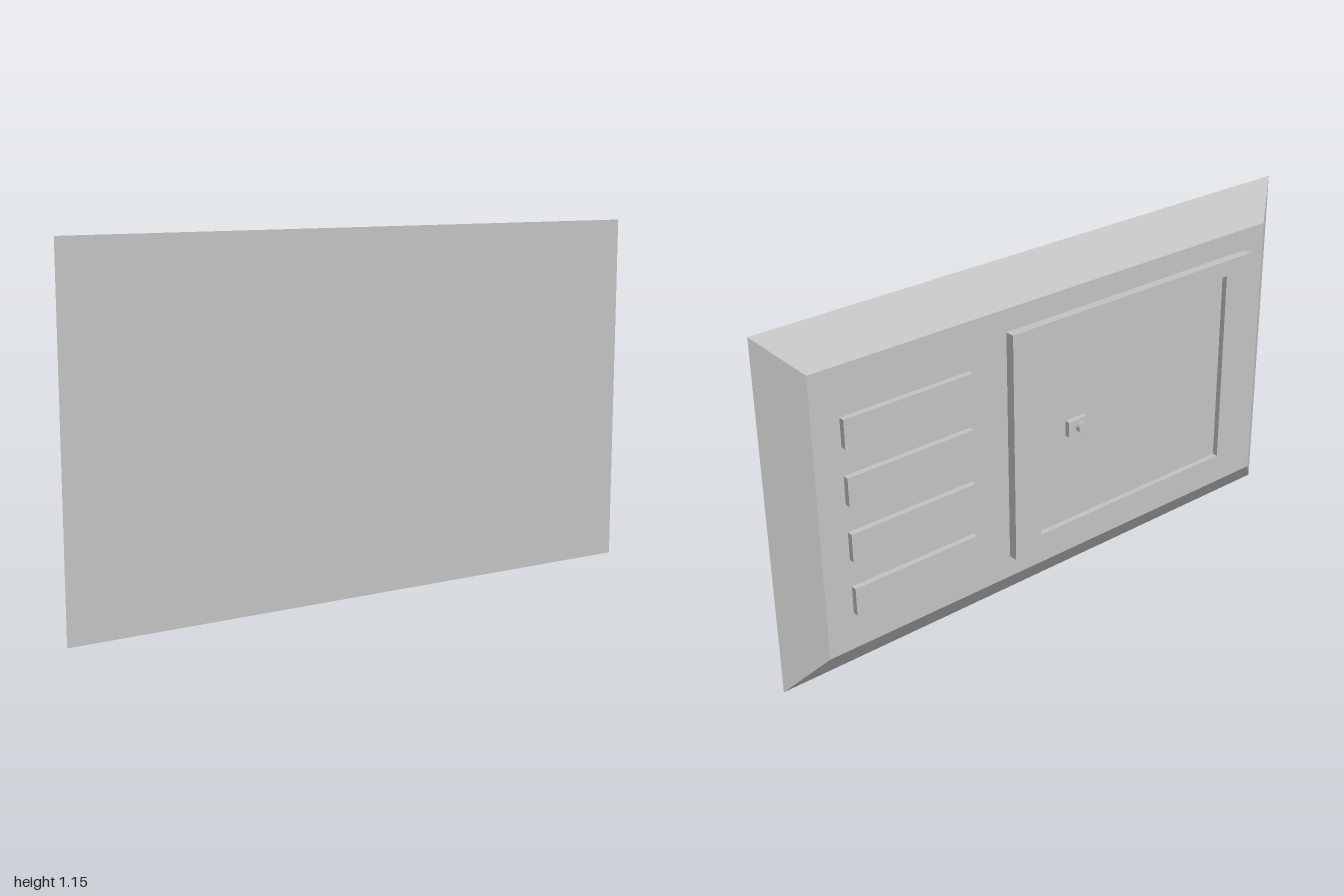
import * as THREE from 'three';

const gray = new THREE.MeshStandardMaterial({ color: 0xc2c2c2 });
gray.name = 'plain gray';

export function createModel() {
  const model = new THREE.Group();
  model.name = 'accessPanel';

  const add = (name, geometry, x = 0, y = 0, z = 0) => {
    const mesh = new THREE.Mesh(geometry, gray);
    mesh.name = name;
    mesh.position.set(x, y, z);
    model.add(mesh);
    return mesh;
  };

  // Box given by its limits on each axis
  const block = (name, x0, x1, y0, y1, z0, z1) =>
    add(name, new THREE.BoxGeometry(x1 - x0, y1 - y0, z1 - z0),
      (x0 + x1) / 2, (y0 + y1) / 2, (z0 + z1) / 2);

  const height = 1.155, midY = height / 2, backZ = -0.022;

  // Base slab, its back face drawn in to make four sloping sides
  const slab = new THREE.BoxGeometry(2, height, 0.09).toNonIndexed();
  const p = slab.attributes.position;
  for (let i = 0; i < p.count; i++) {
    if (p.getZ(i) < 0) {
      p.setX(i, Math.sign(p.getX(i)) * 0.887);
      p.setY(i, Math.sign(p.getY(i)) * 0.4625);
    }
  }
  slab.computeVertexNormals();
  add('bevelledSlab', slab, 0, midY, backZ + 0.045);

  // Raised door frame with a rectangular opening
  const rectangle = (Type, x0, x1, y0, y1) => new Type([
    new THREE.Vector2(x0, y0), new THREE.Vector2(x1, y0),
    new THREE.Vector2(x1, y1), new THREE.Vector2(x0, y1),
  ]);
  const outline = rectangle(THREE.Shape, -0.8, 0.208, 0.191, 0.966);
  outline.holes.push(rectangle(THREE.Path, -0.69, 0.104, 0.243, 0.912));
  const frame = new THREE.ExtrudeGeometry(outline, { depth: 0.031, bevelEnabled: false });
  add('doorFrame', frame, 0, 0, -0.053);

  // Door panel sunk inside the frame
  block('doorPanel', -0.69, 0.104, 0.243, 0.912, -0.034, backZ);

  // Latch plate and round knob
  block('latchPlate', -0.085, -0.011, 0.552, 0.604, -0.052, -0.034);
  const knob = new THREE.CylinderGeometry(0.018, 0.018, 0.017, 16);
  knob.rotateX(Math.PI / 2);
  add('latchKnob', knob, -0.058, 0.577, -0.0595);

  // Four raised vent bars beside the door
  for (let i = 0; i < 4; i++) {
    const y = 0.24 + i * 0.184;
    block('ventBar', 0.35, 0.795, y, y + 0.092, -0.041, backZ);
  }

  return model;
}
